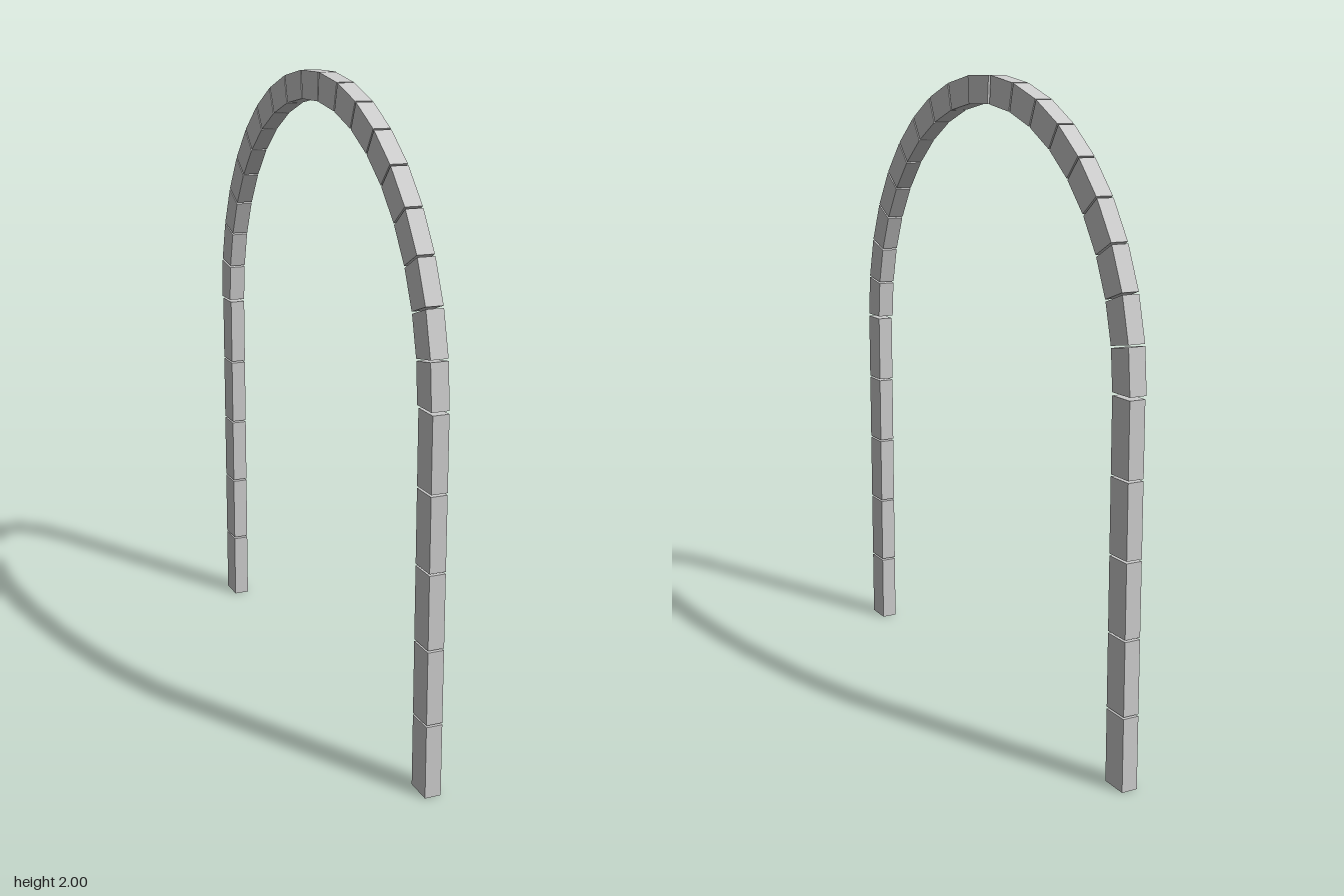
import * as THREE from 'three';

const OUTER = 0.857, INNER = 0.77, SPRING = 1.143; // arch radii and spring height
const GAP = 0.006; // open joint between blocks
const material = new THREE.MeshStandardMaterial({ color: 0xcccccc, flatShading: true });

// Wedge-shaped arch block, centred on the vertical and then turned to its angle
function archBlock(angle, halfStep, x0, x1) {
  const halfWidth = (r) => r * Math.sin(halfStep) - GAP / 2;
  const rise = Math.cos(halfStep);
  const shape = new THREE.Shape([
    new THREE.Vector2(-halfWidth(INNER), INNER * rise),
    new THREE.Vector2(halfWidth(INNER), INNER * rise),
    new THREE.Vector2(halfWidth(OUTER), OUTER * rise),
    new THREE.Vector2(-halfWidth(OUTER), OUTER * rise),
  ]);
  const geometry = new THREE.ExtrudeGeometry(shape, { depth: x1 - x0, bevelEnabled: false });
  geometry.translate(0, 0, x0).rotateY(Math.PI / 2).rotateX(angle);
  geometry.translate(0, SPRING, 0);
  return new THREE.Mesh(geometry, material);
}

export function createModel() {
  const model = new THREE.Group();
  model.name = 'archway';

  // Two straight legs of stacked blocks
  const rows = 5, pitch = SPRING / rows;
  for (const side of [1, -1]) {
    const leg = new THREE.Group();
    leg.name = side > 0 ? 'frontLeg' : 'backLeg';
    for (let i = 0; i < rows; i++) {
      const block = new THREE.Mesh(new THREE.BoxGeometry(0.05, pitch - GAP, OUTER - INNER), material);
      block.name = 'legBlock';
      block.position.set(0, i * pitch + (pitch - GAP) / 2, side * (OUTER + INNER) / 2);
      leg.add(block);
    }
    model.add(leg);
  }

  // Half ring of wedge blocks, with a slightly thicker keystone in the middle
  const arch = new THREE.Group();
  arch.name = 'arch';
  const count = 19, step = Math.PI / count, middle = (count - 1) / 2;
  for (let i = 0; i < count; i++) {
    const isKey = i === middle;
    const block = archBlock((i - middle) * step, step / 2, -0.029, isKey ? 0.029 : 0.025);
    block.name = isKey ? 'keystone' : 'archBlock';
    arch.add(block);
  }
  model.add(arch);
  return model;
}
